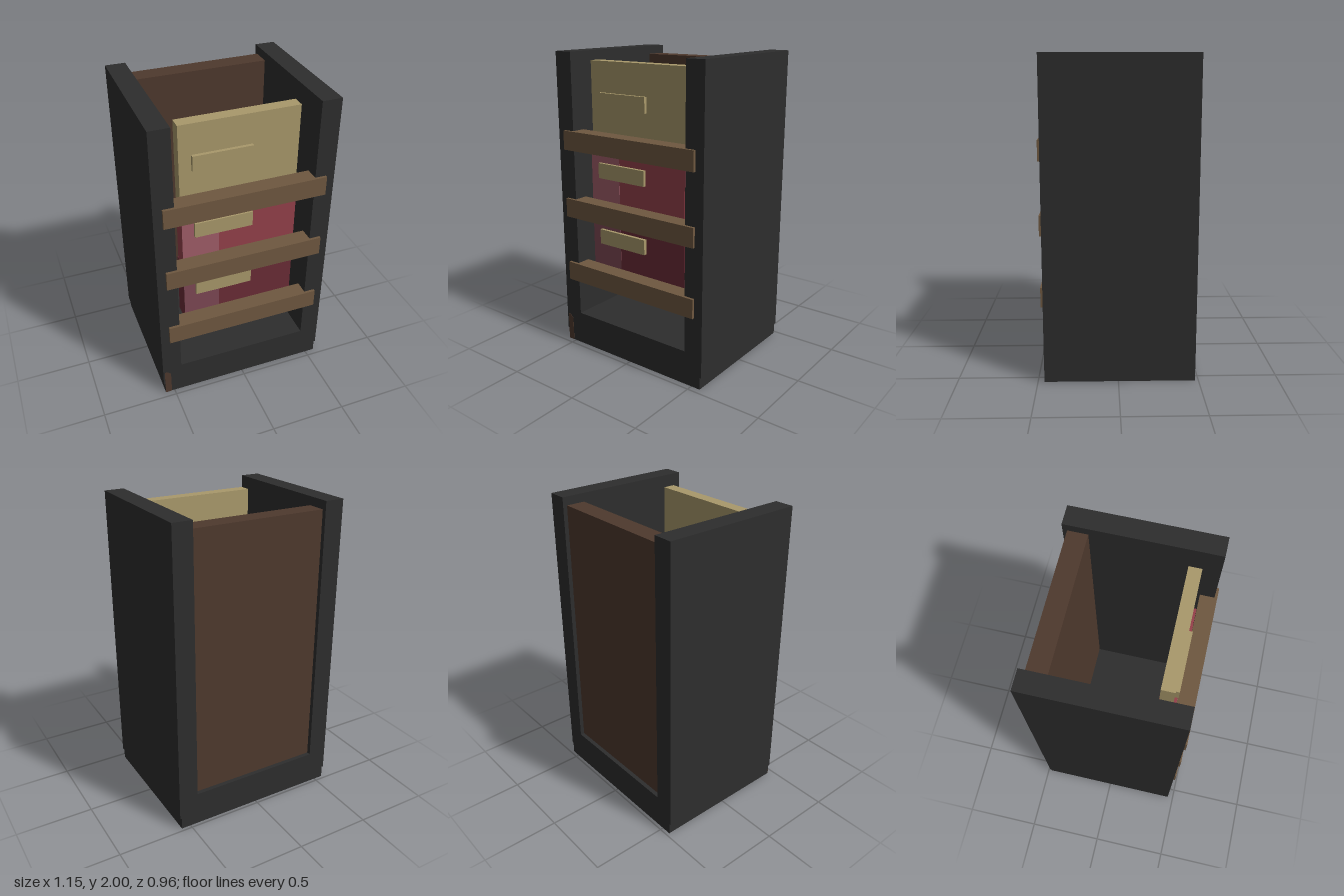
import * as THREE from 'three';

const mat = (name, color) => Object.assign(new THREE.MeshStandardMaterial({ color }), { name });

export function createModel() {
  const charcoal = mat('charcoal', 0x2d2d2d);
  const darkWood = mat('darkWood', 0x4e392d);
  const lightWood = mat('lightWood', 0x6f5840);
  const tan = mat('tan', 0xa9996b);
  const red = mat('red', 0x94404a);
  const paleRed = mat('paleRed', 0xa05d68);
  const maroon = mat('maroon', 0x6a2c36);
  const paleMaroon = mat('paleMaroon', 0x7d4854);

  const model = new THREE.Group();
  model.name = 'drawerCabinet';

  // Box given by its limits on each axis
  const box = (name, material, [x0, x1], [y0, y1], [z0, z1]) => {
    const mesh = new THREE.Mesh(new THREE.BoxGeometry(x1 - x0, y1 - y0, z1 - z0), material);
    mesh.position.set((x0 + x1) / 2, (y0 + y1) / 2, (z0 + z1) / 2);
    mesh.name = name;
    model.add(mesh);
    return mesh;
  };

  // Frame: plinth, floor, side walls and inset back panel
  const depth = [-0.478, 0.46];
  box('plinth', charcoal, [-0.563, 0.563], [0, 0.08], depth);
  box('floor', charcoal, [-0.445, 0.445], [0.08, 0.225], depth);
  box('rightWall', charcoal, [-0.573, -0.445], [0.08, 2], depth);
  box('leftWall', charcoal, [0.445, 0.573], [0.08, 2], depth);
  box('backPanel', darkWood, [-0.445, 0.445], [0.225, 1.945], [-0.45, -0.325]);

  // Worn patch at the lower front corner
  const patch = new THREE.Shape([[-0.563, 0], [-0.52, 0], [-0.52, 0.165], [-0.545, 0.19], [-0.563, 0.19]]
    .map(([x, y]) => new THREE.Vector2(x, y)));
  const worn = new THREE.Mesh(new THREE.ExtrudeGeometry(patch, { depth: 0.004, bevelEnabled: false }), darkWood);
  worn.position.z = 0.458;
  worn.name = 'wornCorner';
  model.add(worn);

  // Three rails across the front
  for (const y of [0.47, 0.92, 1.375]) {
    box('rail', lightWood, [-0.517, 0.515], [y, y + 0.126], [0.368, 0.478]);
  }

  // Stacked drawer fronts, each with a label plate
  const drawers = [
    { y: [0.54, 0.98], z: [0.25, 0.367], main: maroon, stripe: paleMaroon, label: 0.75 },
    { y: [0.98, 1.44], z: [0.27, 0.367], main: red, stripe: paleRed, label: 1.2 },
    { y: [1.44, 1.945], z: [0.27, 0.35], main: tan, label: 1.65 },
  ];
  for (const { y, z, main, stripe, label } of drawers) {
    box('drawerFront', main, [-0.376, 0.374], y, z);
    if (stripe) box('drawerStripe', stripe, [-0.376, -0.14], y, [z[1], z[1] + 0.002]);
    box('labelPlate', tan, [-0.3, 0.075], [label, label + 0.1], [z[1], z[1] + 0.022]);
  }
  return model;
}
